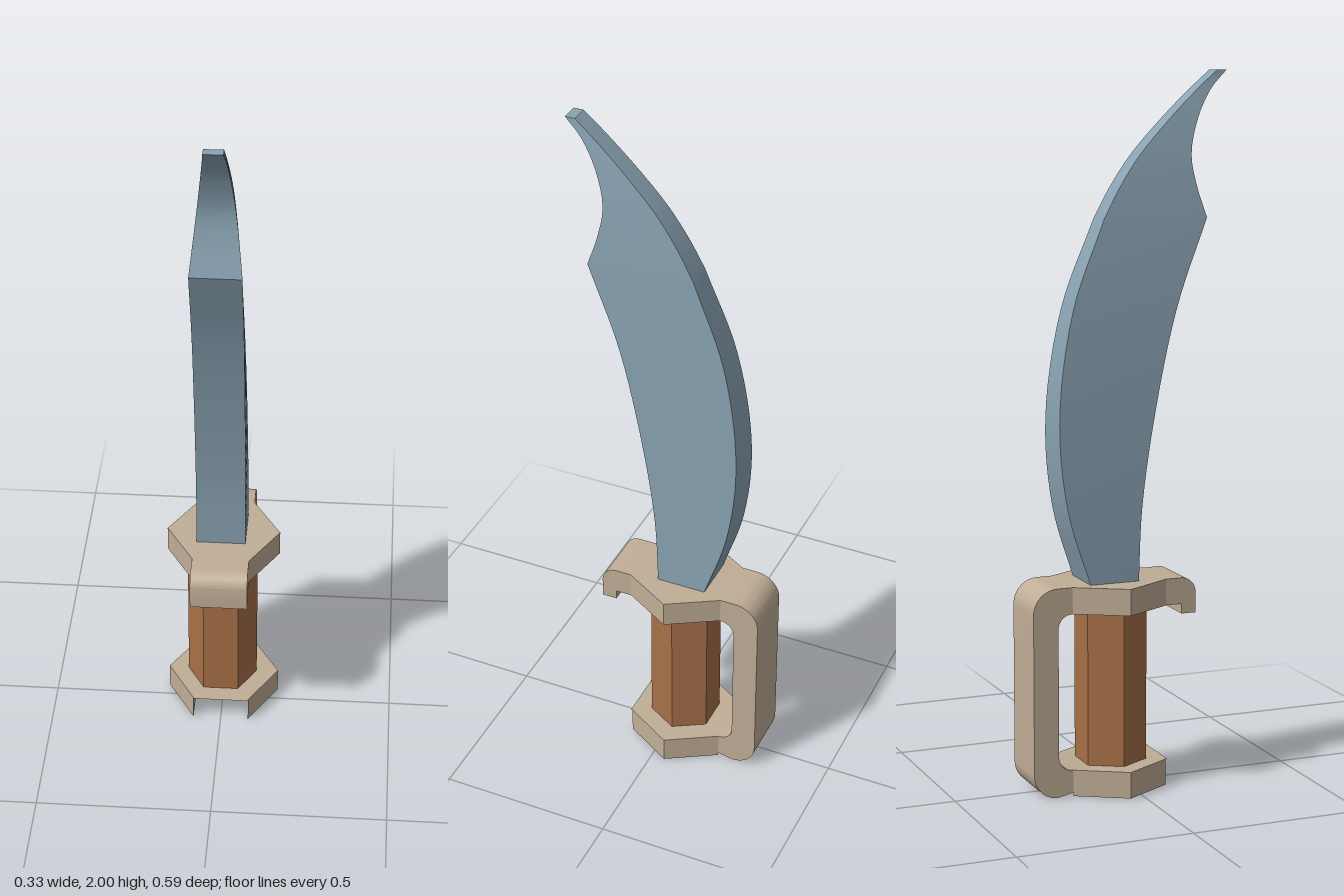
import * as THREE from 'three';
import { toCreasedNormals } from 'three/addons/utils/BufferGeometryUtils.js';

const steel = new THREE.MeshStandardMaterial({ color: 0x8aa3b3 });
const brass = new THREE.MeshStandardMaterial({ color: 0xc0ad96 });
const wood = new THREE.MeshStandardMaterial({ color: 0xa87048 });

function part(name, geometry, material) {
  const mesh = new THREE.Mesh(geometry, material);
  mesh.name = name;
  return mesh;
}

// Each station holds (edge z, height, spine z); the edge has a corner at y = 1.6.
const station = ([y, edge, spine]) => new THREE.Vector3(edge, y, spine);
const lowerBlade = [
  [0.59, 0.02, -0.122], [0.8, 0.03, -0.186], [1.05, 0.066, -0.208],
  [1.35, 0.132, -0.165], [1.6, 0.222, -0.07],
].map(station);
const upperBlade = [
  [1.6, 0.222, -0.07], [1.68, 0.197, -0.026], [1.77, 0.183, 0.036],
  [1.87, 0.207, 0.128], [1.95, 0.25, 0.212], [2, 0.298, 0.27],
].map(station);

function bladeGeometry() {
  const rows = [
    ...new THREE.CatmullRomCurve3(lowerBlade).getPoints(24),
    ...new THREE.CatmullRomCurve3(upperBlade).getPoints(20).slice(1),
  ];
  const lerp = THREE.MathUtils.mapLinear;
  const cx = -0.004;
  const positions = [];
  const index = [];
  rows.forEach(({ x: edge, y, z: spine }, i) => {
    // The spine thins all the way up, the edge only above the corner.
    const e = y < 1.6 ? 0.07 : lerp(y, 1.6, 2, 0.07, 0.026);
    const s = lerp(y, 0.6, 2, 0.07, 0.026);
    positions.push(cx + e, y, edge, cx - e, y, edge, cx - s, y, spine, cx + s, y, spine);
    if (i === 0) return;
    const up = i * 4, lo = up - 4;
    for (let j = 0; j < 4; j++) {
      const k = (j + 1) % 4;
      index.push(lo + k, lo + j, up + j, lo + k, up + j, up + k);
    }
  });
  const t = (rows.length - 1) * 4;
  index.push(0, 1, 2, 0, 2, 3, t, t + 3, t + 2, t, t + 2, t + 1);
  const g = new THREE.BufferGeometry();
  g.setAttribute('position', new THREE.Float32BufferAttribute(positions, 3));
  g.setIndex(index);
  return toCreasedNormals(g, 0.5);
}

// Strap profile in (z, y): pommel, knuckle bow, crossguard and front lip.
function strapGeometry() {
  const q = Math.PI / 2;
  const s = new THREE.Shape();
  s.moveTo(0.105, 0);
  s.absarc(-0.225, 0.07, 0.07, -q, -2 * q, true);
  s.absarc(-0.225, 0.525, 0.07, 2 * q, q, true);
  s.absarc(0.145, 0.55, 0.045, q, 0, true);
  s.lineTo(0.19, 0.492);
  s.lineTo(0.147, 0.492);
  s.lineTo(0.147, 0.52);
  s.absarc(-0.182, 0.48, 0.04, q, 2 * q, false);
  s.absarc(-0.182, 0.115, 0.04, 2 * q, 3 * q, false);
  s.lineTo(0.105, 0.075);
  s.closePath();
  const g = new THREE.ExtrudeGeometry(s, { depth: 0.162, bevelEnabled: false, curveSegments: 8 });
  g.rotateY(-q).translate(0.081, 0, 0);
  return toCreasedNormals(g, 0.5);
}

// Pointed side wing of a guard plate; side is +1 or -1.
function wingGeometry(side) {
  const s = new THREE.Shape([
    new THREE.Vector2(side * 0.081, -0.1),
    new THREE.Vector2(side * 0.163, 0.04),
    new THREE.Vector2(side * 0.081, 0.18),
  ]);
  return new THREE.ExtrudeGeometry(s, { depth: 0.075, bevelEnabled: false }).rotateX(-Math.PI / 2);
}

export function createModel() {
  const model = new THREE.Group();
  model.name = 'sabre';

  model.add(part('blade', bladeGeometry(), steel));

  // Six-sided grip with corners pointing sideways
  const gripGeometry = new THREE.CylinderGeometry(0.102, 0.102, 0.455, 6).rotateY(Math.PI / 2);
  const grip = part('grip', toCreasedNormals(gripGeometry, 0.5), wood);
  grip.position.set(-0.003, 0.2975, -0.037);
  model.add(grip);

  // Guard: strap plus wings on the pommel and crossguard plates
  const guard = new THREE.Group();
  guard.name = 'guard';
  guard.add(part('knuckleBow', strapGeometry(), brass));
  for (const [name, y] of [['pommel', 0], ['crossguard', 0.52]]) {
    for (const side of [1, -1]) {
      const wing = part(name + (side > 0 ? 'LeftWing' : 'RightWing'), wingGeometry(side), brass);
      wing.position.y = y;
      guard.add(wing);
    }
  }
  model.add(guard);
  return model;
}
